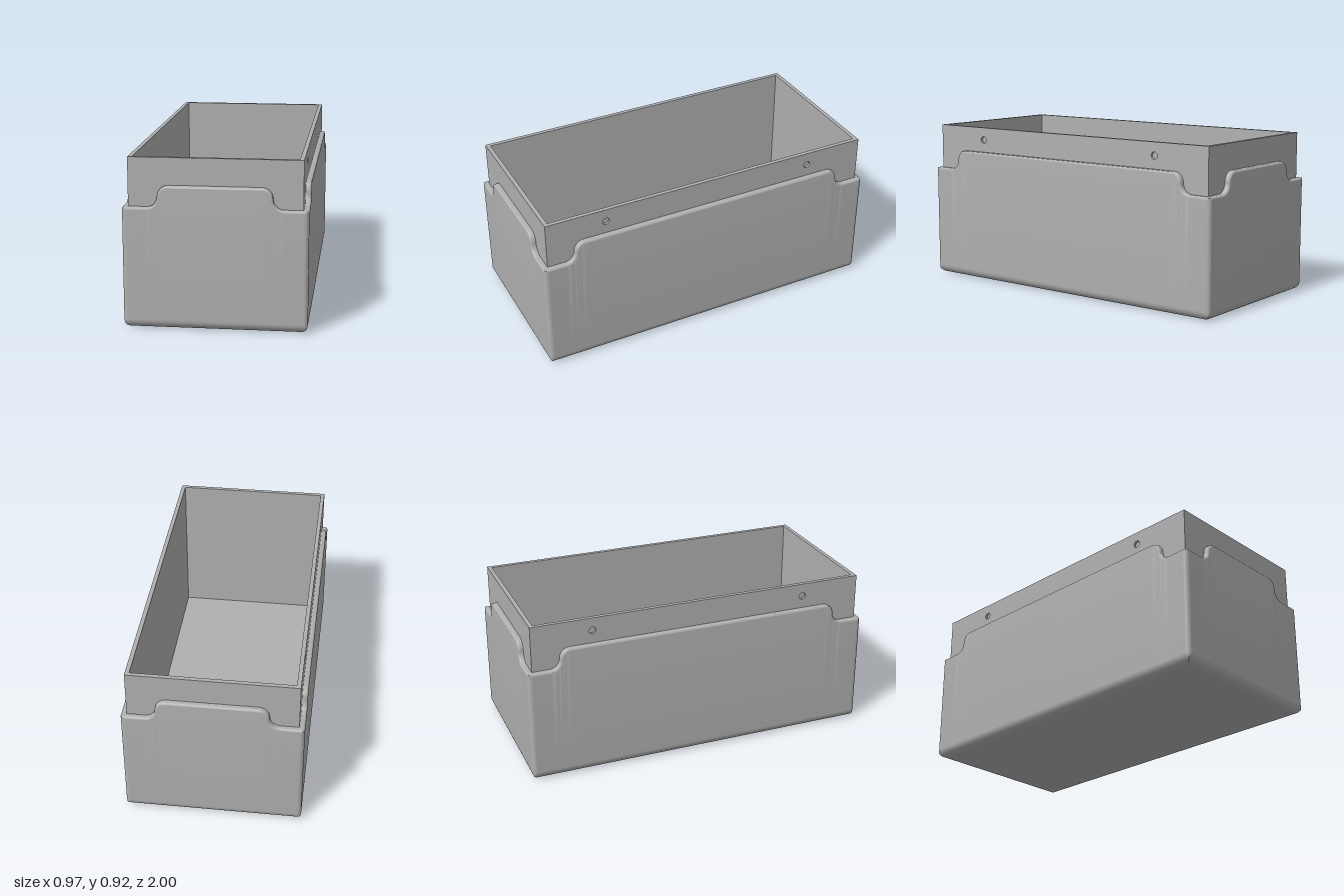
import * as THREE from 'three';
import { toCreasedNormals } from 'three/addons/utils/BufferGeometryUtils.js';

const W = 0.485, D = 1;              // half width and half depth of the outer shell
const GAP = 0.03;                    // shell wall thickness
const HIGH = 0.77, LOW = 0.655;      // rim heights: middle of each wall, corners
const FILLET = 0.052, BEVEL = 0.012, CORNER = 0.022;
const TOP = 0.915, WALL = 0.023, FLOOR = 0.055;

// Rim from the middle of a wall towards its corner: distance s, height y, rim normal (ns, ny)
function halfRim(stepAt) {
  const r = (HIGH - LOW) / 2, mid = (HIGH + LOW) / 2, n = 10, pts = [{ s: 0, y: HIGH, ns: 0, ny: 1 }];
  for (let i = 0; i <= n; i++) {
    const a = (i / n) * Math.PI / 2;
    pts.push({ s: stepAt - r + r * Math.sin(a), y: mid + r * Math.cos(a), ns: Math.sin(a), ny: Math.cos(a) });
  }
  for (let i = 1; i <= n; i++) {
    const a = (i / n) * Math.PI / 2;
    pts.push({ s: stepAt + r - r * Math.cos(a), y: mid - r * Math.sin(a), ns: Math.cos(a), ny: Math.sin(a) });
  }
  return pts;
}

// Columns around the whole shell, mirrored from one quarter
function shellColumns() {
  const quarter = halfRim(0.3).map(p => ({ x: p.s, z: D, y: p.y, nx: p.ns, nz: 0, ny: p.ny }));
  const flat = (x, z) => quarter.push({ x, z, y: LOW, nx: 0, nz: 0, ny: 1 });
  flat(W - CORNER - 0.01, D);
  for (let i = 0; i <= 6; i++) {
    const a = (i / 6) * Math.PI / 2;
    flat(W - CORNER + CORNER * Math.sin(a), D - CORNER + CORNER * Math.cos(a));
  }
  flat(W, D - CORNER - 0.01);
  halfRim(0.815).reverse().forEach(p => quarter.push({ x: W, z: p.s, y: p.y, nx: 0, nz: p.ns, ny: p.ny }));

  const loop = [];
  for (const [sx, sz] of [[1, 1], [1, -1], [-1, -1], [-1, 1]]) {
    const q = quarter.map(c => ({ ...c, x: c.x * sx, z: c.z * sz, nx: c.nx * sx, nz: c.nz * sz }));
    if (sx * sz < 0) q.reverse();
    loop.push(...q.slice(0, -1));
  }
  return loop;
}

// Outer shell skin: rounded foot, plain wall, softened rim, rim ledge
function shellGeometry() {
  const cols = shellColumns(), rows = [];
  for (let i = 0; i <= 8; i++) {
    const a = (i / 8) * Math.PI / 2;
    rows.push({ inset: FILLET * (1 - Math.sin(a)), y: FILLET * (1 - Math.cos(a)) });
  }
  rows.push({ inset: 0, y: FILLET + 0.008 }, { inset: 0, drop: BEVEL + 0.003 });
  for (let i = 0; i <= 5; i++) {
    const a = (i / 5) * Math.PI / 2;
    rows.push({ inset: BEVEL * (1 - Math.cos(a)), drop: BEVEL * (1 - Math.sin(a)) });
  }
  rows.push({ inset: GAP, drop: 0 });

  const pos = [], idx = [], n = cols.length;
  for (const { inset, y, drop } of rows) {
    for (const c of cols) {
      const d = drop ?? 0;
      pos.push(
        THREE.MathUtils.clamp(c.x - c.nx * d, inset - W, W - inset),
        drop === undefined ? y : c.y - c.ny * d,
        THREE.MathUtils.clamp(c.z - c.nz * d, inset - D, D - inset));
    }
  }
  for (let r = 0; r < rows.length - 1; r++) {
    for (let i = 0; i < n; i++) {
      const j = (i + 1) % n, a = r * n + i, b = r * n + j;
      idx.push(a, b, b + n, a, b + n, a + n);
    }
  }
  const geo = new THREE.BufferGeometry();
  geo.setAttribute('position', new THREE.Float32BufferAttribute(pos, 3));
  geo.setIndex(idx);
  return toCreasedNormals(geo, 0.6);
}

export function createModel() {
  const group = new THREE.Group();
  const grey = new THREE.MeshStandardMaterial({ color: 0xb0b0b0 });
  grey.name = 'plain grey';
  const add = (name, geo, x = 0, y = 0, z = 0, parent = group) => {
    const mesh = new THREE.Mesh(geo, grey);
    mesh.name = name;
    mesh.position.set(x, y, z);
    parent.add(mesh);
    return mesh;
  };

  // Outer shell and its underside
  add('outerShell', shellGeometry());
  add('underside', new THREE.PlaneGeometry(2 * (W - FILLET), 2 * (D - FILLET)).rotateX(Math.PI / 2));

  // Inner box: floor, end walls, and side walls with shallow round sockets
  const iw = W - GAP, id = D - GAP, h = TOP - FLOOR, midY = (TOP + FLOOR) / 2;
  const liner = new THREE.Group();
  liner.name = 'innerBox';
  group.add(liner);
  add('floor', new THREE.BoxGeometry(2 * iw, 0.02, 2 * id), 0, FLOOR - 0.01, 0, liner);

  const side = new THREE.Shape([[-id, FLOOR], [id, FLOOR], [id, TOP], [-id, TOP]].map(p => new THREE.Vector2(...p)));
  for (const s of [-1, 1]) side.holes.push(new THREE.Path().absarc(s * 0.625, 0.842, 0.02, 0, Math.PI * 2, true));
  const skin = 0.013;
  const skinGeo = new THREE.ExtrudeGeometry(side, { depth: skin, bevelEnabled: false, curveSegments: 24 });

  for (const s of [-1, 1]) {
    const name = s > 0 ? 'left' : 'right';
    add(name + 'WallFace', skinGeo, s * (iw - skin), 0, 0, liner).rotation.y = s * Math.PI / 2;
    add(name + 'WallBacking', new THREE.BoxGeometry(WALL - skin, h, 2 * id),
      s * (iw - WALL + (WALL - skin) / 2), midY, 0, liner);
    add(s > 0 ? 'frontWall' : 'backWall', new THREE.BoxGeometry(2 * (iw - WALL), h, WALL),
      0, midY, s * (id - WALL / 2), liner);
  }
  return group;
}
